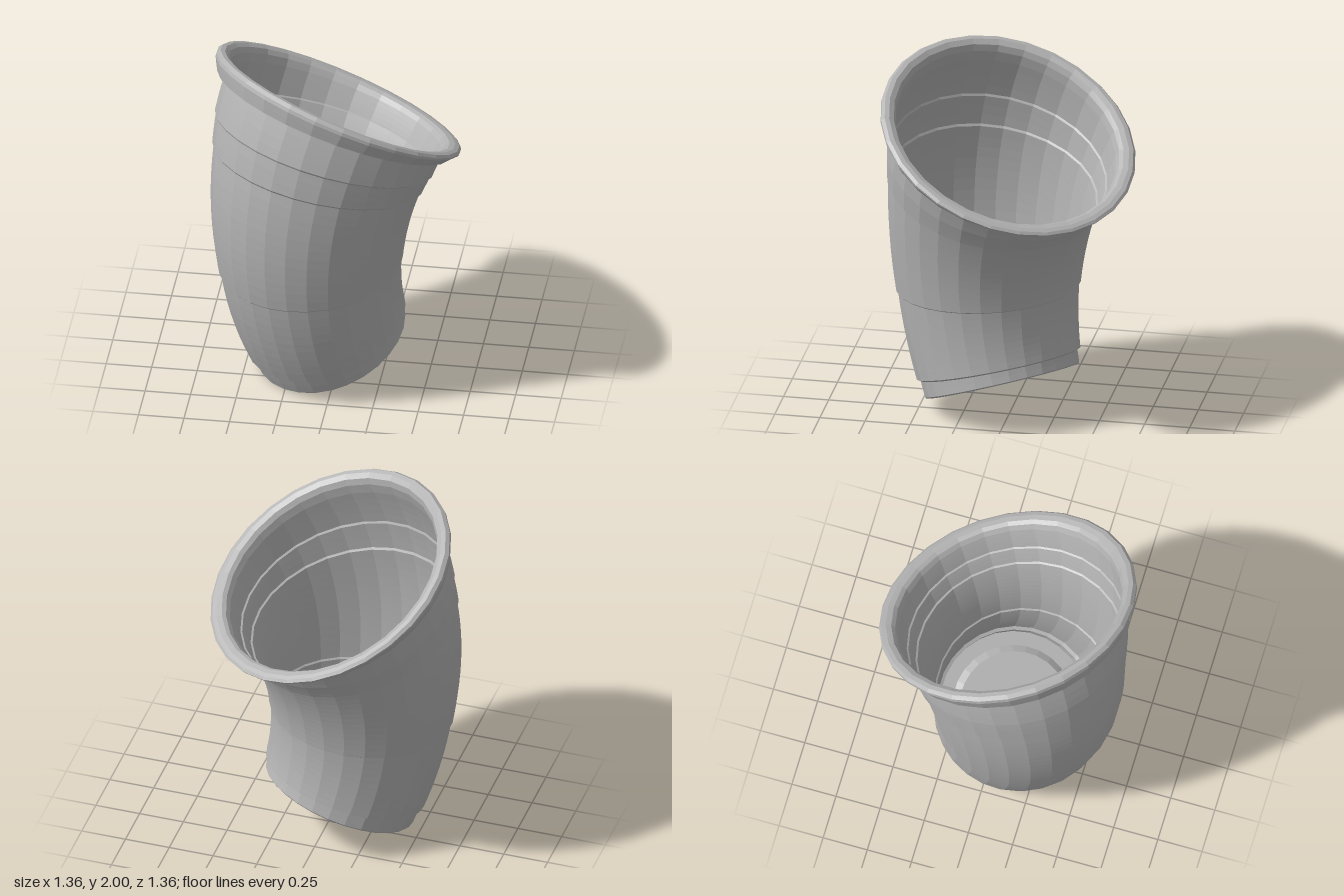
import * as THREE from 'three';

const SIDES = 28;
const BEND_RADIUS = 1.665;             // radius of the curved centre line
const START = THREE.MathUtils.degToRad(-24);  // lean at the base
const BASE_S = -0.065, BASE_Y = 0.175; // centre of the base along the lean and up
const LEAN = new THREE.Vector3(1, 0, -1).normalize();
const SIDE = new THREE.Vector3(1, 0, 1).normalize();

// Split long steps of a [radius, height] profile so that it bends smoothly
function refine(profile) {
  const out = [];
  profile.forEach(([r, t], i) => {
    if (i > 0) {
      const [r0, t0] = profile[i - 1];
      const n = Math.max(1, Math.ceil(Math.abs(t - t0) / 0.05));
      for (let k = 1; k < n; k++) {
        out.push(new THREE.Vector2(r0 + (r - r0) * k / n, t0 + (t - t0) * k / n));
      }
    }
    out.push(new THREE.Vector2(r, t));
  });
  return out;
}

// Turn a profile, then wrap its height around the bend
function bentLathe(name, profile, material) {
  const geo = new THREE.LatheGeometry(refine(profile), SIDES);
  const p = geo.attributes.position;
  const v = new THREE.Vector3();
  for (let i = 0; i < p.count; i++) {
    const a = START + p.getY(i) / BEND_RADIUS;
    const out = p.getX(i), across = p.getZ(i);
    const s = BASE_S + BEND_RADIUS * (Math.cos(START) - Math.cos(a)) + out * Math.cos(a);
    const y = BASE_Y + BEND_RADIUS * (Math.sin(a) - Math.sin(START)) - out * Math.sin(a);
    v.set(0, y, 0).addScaledVector(LEAN, s).addScaledVector(SIDE, across);
    p.setXYZ(i, v.x, v.y, v.z);
  }
  geo.computeVertexNormals();
  const mesh = new THREE.Mesh(geo, material);
  mesh.name = name;
  return mesh;
}

export function createModel() {
  const plastic = new THREE.MeshStandardMaterial({
    color: 0xb4b4b4, flatShading: true, side: THREE.DoubleSide,
  });
  plastic.name = 'grey plastic';

  // Stepped wall, from the foot up to the rim
  const wall = [
    [0.437, 0.09], [0.456, 0.1], [0.496, 0.54], [0.505, 0.548],
    [0.58, 1.135], [0.59, 1.143], [0.612, 1.275], [0.621, 1.283], [0.637, 1.46],
  ];
  const inset = 0.015;
  const innerWall = wall.map(([r, t]) => [r - inset, t]).reverse();

  const cup = new THREE.Group();
  cup.name = 'bentCup';
  cup.add(
    // Foot with a recessed underside
    bentLathe('foot', [
      [0, 0.03], [0.305, 0.03], [0.34, 0], [0.425, 0], [0.432, 0.008], [0.437, 0.09],
    ], plastic),
    bentLathe('outerWall', wall, plastic),
    // Flared rim with a lip hanging free of the wall
    bentLathe('rim', [
      [0.637, 1.46], [0.65, 1.5], [0.672, 1.517], [0.7, 1.505], [0.672, 1.455],
      [0.68, 1.452], [0.718, 1.507], [0.72, 1.522], [0.705, 1.537], [0.68, 1.54],
      [0.65, 1.53], [0.632, 1.505], [0.622, 1.46],
    ], plastic),
    bentLathe('innerWall', innerWall, plastic),
    // Floor with a raised centre
    bentLathe('floor', [
      [0.422, 0.09], [0.415, 0.015], [0.34, 0.015], [0.305, 0.045], [0, 0.045],
    ], plastic),
  );
  const model = new THREE.Group();
  model.name = 'cup';
  model.add(cup);
  return model;
}
